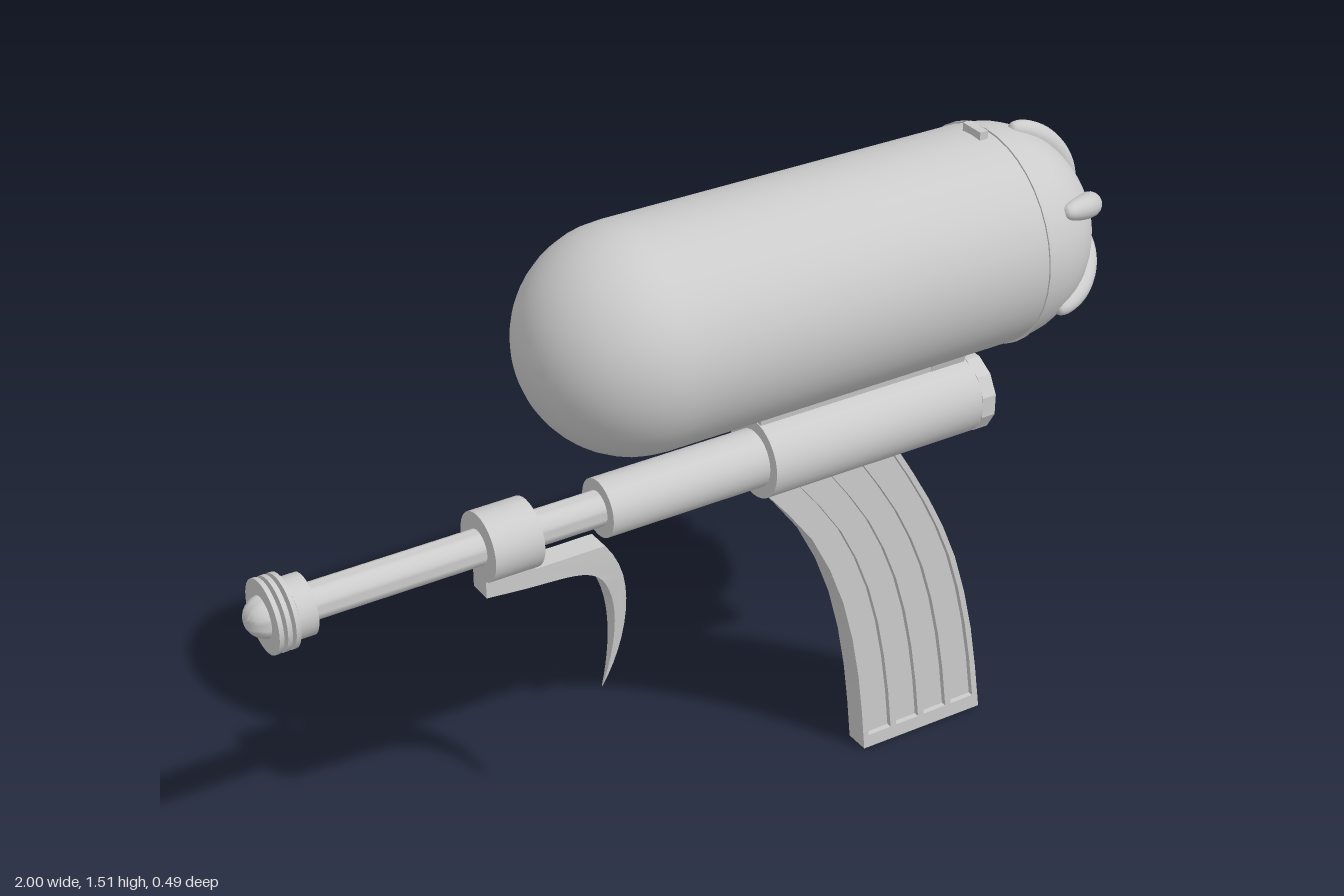
import * as THREE from 'three';
import { toCreasedNormals } from 'three/addons/utils/BufferGeometryUtils.js';

const TANK_Y = 1.257, BARREL_Y = 0.878;

export function createModel() {
  const model = new THREE.Group();
  const mat = new THREE.MeshStandardMaterial({ color: 0xcccccc });
  const flat = new THREE.MeshStandardMaterial({ color: 0xcccccc, flatShading: true });

  const add = (name, geo, x = 0, y = 0, z = 0, m = mat) => {
    const mesh = new THREE.Mesh(geo, m);
    mesh.name = name;
    mesh.position.set(x, y, z);
    model.add(mesh);
    return mesh;
  };
  // Solid of revolution about the x axis from [x, radius] pairs, x rising
  const turned = (pairs, segments = 32) => {
    const geo = new THREE.LatheGeometry(pairs.map(([x, r]) => new THREE.Vector2(r, x)), segments);
    return toCreasedNormals(geo.rotateZ(-Math.PI / 2), 0.6);
  };
  const rod = (name, x0, x1, r) => add(name, turned([[x0, 0], [x0, r], [x1, r], [x1, 0]]), 0, BARREL_Y);
  const extrude = (shape, depth) => {
    const geo = new THREE.ExtrudeGeometry(shape, { depth, bevelEnabled: false, curveSegments: 12 });
    return geo.translate(0, 0, -depth / 2);
  };

  // Tank: cylinder with a round dome at each end, closed at the seam
  const tank = [];
  for (let i = 0; i <= 12; i++) {
    const a = (i / 12) * Math.PI / 2;
    tank.push([-0.122 - 0.243 * Math.cos(a), 0.242 * Math.sin(a)]);
  }
  tank.push([0.75, 0.24], [0.75, 0]);
  add('tank', turned(tank, 40), 0, TANK_Y);
  const cap = [[0.75, 0]];
  for (let i = 0; i <= 12; i++) {
    const a = (i / 12) * Math.PI / 2;
    cap.push([0.75 + 0.235 * Math.sin(a), 0.24 * Math.cos(a)]);
  }
  add('tankCap', turned(cap, 40), 0, TANK_Y);
  add('capSeam', turned([[0.749, 0], [0.749, 0.244], [0.756, 0.244], [0.756, 0]], 40), 0, TANK_Y);
  add('topTab', new THREE.BoxGeometry(0.02, 0.03, 0.06), 0.72, 1.498);

  // Six plump ribs: a slim blob bent along the cap dome
  const ribGeo = new THREE.SphereGeometry(1, 16, 24);
  const pos = ribGeo.attributes.position;
  for (let i = 0; i < pos.count; i++) {
    const t = pos.getY(i);
    const fullness = 0.028 * Math.pow(Math.max(1 - t * t, 1e-6), -0.2);
    const a = THREE.MathUtils.degToRad(43 + 32 * t);
    const r = 0.238 + fullness * pos.getX(i);
    pos.setXYZ(i, 0.75 + r * Math.cos(a), r * Math.sin(a), fullness * pos.getZ(i));
  }
  ribGeo.computeVertexNormals();
  for (let i = 0; i < 6; i++) add('capRib', ribGeo, 0, TANK_Y).rotation.x = i * Math.PI / 3;

  // Wedge saddle joining tank and body, wider at the top
  const saddle = (name, x0, x1, top, bottom) => {
    const s = new THREE.Shape([[-bottom, 0.95], [bottom, 0.95], [top, 1.03], [-top, 1.03]]
      .map(([z, y]) => new THREE.Vector2(z, y)));
    const geo = new THREE.ExtrudeGeometry(s, { depth: x1 - x0, bevelEnabled: false });
    add(name, toCreasedNormals(geo.rotateY(Math.PI / 2), 0.5), x0);
  };
  saddle('saddle', 0.18, 0.63, 0.03, 0.02);
  saddle('saddleRear', 0.62, 0.71, 0.04, 0.018);

  // Body and barrel, from rear to front
  rod('body', 0.178, 0.718, 0.091);
  const endCap = new THREE.CylinderGeometry(0.093, 0.093, 0.035, 12).rotateZ(Math.PI / 2);
  add('bodyEndCap', endCap.rotateX(Math.PI / 12), 0.733, BARREL_Y, 0, flat);
  rod('barrelSleeve', -0.205, 0.18, 0.065);
  rod('barrel', -0.88, -0.2, 0.039);
  rod('collar', -0.485, -0.372, 0.076);

  // Nozzle: round tip, core, base ring and three thin discs
  const tip = [];
  for (let i = 0; i <= 8; i++) {
    const a = (i / 8) * Math.PI / 2;
    tip.push([-0.95 - 0.05 * Math.cos(a), 0.046 * Math.sin(a)]);
  }
  add('nozzleTip', turned([...tip, [-0.9, 0.046], [-0.9, 0]]), 0, BARREL_Y);
  rod('nozzleCore', -0.958, -0.9, 0.055);
  rod('nozzleBase', -0.91, -0.87, 0.065);
  for (const x of [-0.92, -0.938, -0.956]) rod('nozzleDisc', x - 0.005, x + 0.005, 0.079);

  // Trigger: flat bar and a hooked blade that thins to a point
  const t = new THREE.Shape();
  t.moveTo(-0.485, 0.81);
  t.lineTo(-0.485, 0.768);
  t.lineTo(-0.4, 0.76);
  t.bezierCurveTo(-0.3, 0.752, -0.235, 0.76, -0.205, 0.705);
  t.bezierCurveTo(-0.165, 0.63, -0.175, 0.52, -0.203, 0.425);
  t.bezierCurveTo(-0.145, 0.53, -0.125, 0.7, -0.205, 0.8);
  t.lineTo(-0.37, 0.8);
  t.lineTo(-0.37, 0.81);
  const trigger = extrude(t, 0.055);
  const tp = trigger.attributes.position;
  for (let i = 0; i < tp.count; i++) {
    const k = THREE.MathUtils.clamp((tp.getY(i) - 0.41) / 0.3, 0.05, 1);
    tp.setZ(i, tp.getZ(i) * k);
  }
  add('trigger', toCreasedNormals(trigger, 0.5));

  // Grip: curved outline spanned by u (front to rear) and v (bottom to top)
  const curve = (pts) => new THREE.CatmullRomCurve3(pts.map(([x, y]) => new THREE.Vector3(x, y, 0)));
  const front = curve([[0.48, 0.005], [0.455, 0.22], [0.405, 0.44], [0.315, 0.64], [0.18, 0.81]]);
  const rear = curve([[0.81, 0.003], [0.772, 0.24], [0.712, 0.46], [0.63, 0.64], [0.53, 0.81]]);
  const at = (u, v) => {
    const p = front.getPoint(v).lerp(rear.getPoint(v), u);
    return new THREE.Vector2(p.x, p.y);
  };
  const band = (u0, u1, v0, v1) => {
    const a = [], b = [];
    for (let i = 0; i <= 8; i++) {
      const v = v0 + (v1 - v0) * i / 8;
      a.push(at(u0, v));
      b.unshift(at(u1, v));
    }
    return [...a, ...b];
  };
  add('gripCore', toCreasedNormals(extrude(new THREE.Shape(band(0.02, 0.98, 0.01, 0.99)), 0.034), 0.5));
  const shell = new THREE.Shape(band(0, 1, 0, 1));
  for (let i = 0; i < 4; i++) {
    const u = 0.045 + i * 0.24;
    // Holes run the opposite way round to the outline, so their walls face inward
    shell.holes.push(new THREE.Path(band(u, u + 0.19, 0.04, 0.98).reverse()));
  }
  add('gripShell', toCreasedNormals(extrude(shell, 0.06), 0.5));

  return model;
}
